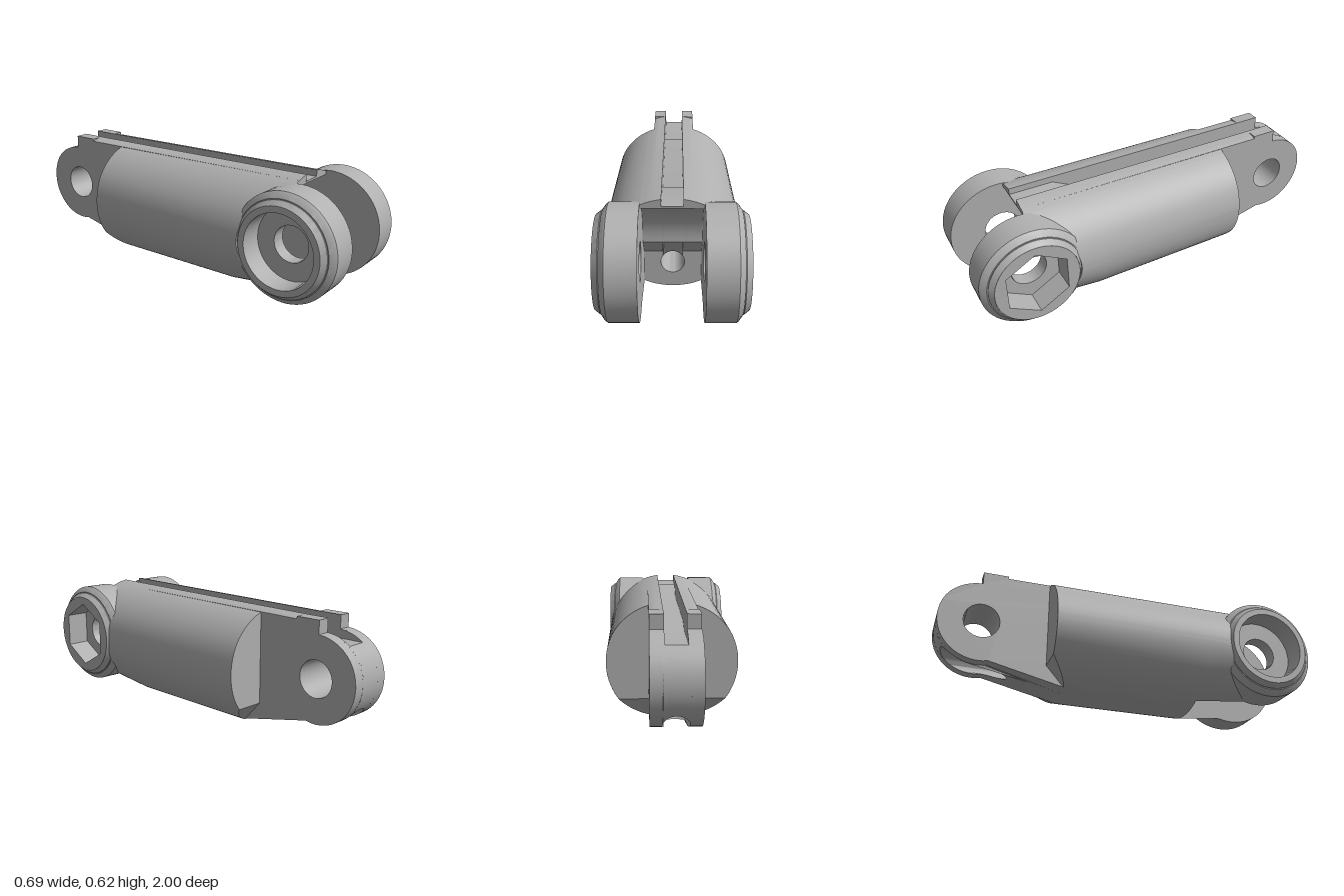
import * as THREE from 'three';
import { toCreasedNormals } from 'three/addons/utils/BufferGeometryUtils.js';

const V = (z, y) => new THREE.Vector2(z, y);
const AXIS_Y = 0.327, FRONT_Z = 0.73, BACK_Z = -0.78, TONGUE_R = 0.22, PIN_R = 0.092;
const BORE_Y = 0.14, BORE_R = 0.06;

const metal = new THREE.MeshStandardMaterial({ color: 0xb0b0b0 });
metal.name = 'grey metal';

function arc(cz, cy, r, a0, a1, n) {
  return Array.from({ length: n + 1 }, (_, i) => {
    const a = a0 + (a1 - a0) * i / n;
    return V(cz + r * Math.cos(a), cy + r * Math.sin(a));
  });
}
const range = (a, b, n) => Array.from({ length: n + 1 }, (_, i) => a + (b - a) * i / n);

// Slight taper of the barrel towards the back
function taper(x, y, z) {
  const t = THREE.MathUtils.clamp((0.7 - z) / 1.14, 0, 1);
  const side = Math.max(Math.abs(x) - 0.145, 0);
  return [x - Math.sign(x) * side * 0.09 * t,
    y - 0.012 * t * THREE.MathUtils.clamp((y - 0.45) / 0.15, 0, 1), z];
}

// Solid made from side profiles (z, y) that change along x
function loft(xs, profile, hole) {
  const pos = [];
  const rings = xs.map(x => {
    const outer = profile(x);
    if (THREE.ShapeUtils.area(outer) < 0) outer.reverse();
    return hole ? [outer, hole] : [outer];
  });
  const put = (p, x) => pos.push(...taper(x, p.y, p.x));
  for (let s = 0; s < xs.length - 1; s++) {
    rings[s].forEach((ring, c) => {
      const next = rings[s + 1][c], x0 = xs[s], x1 = xs[s + 1];
      ring.forEach((p, i) => {
        const j = (i + 1) % ring.length;
        put(p, x0); put(next[i], x1); put(next[j], x1);
        put(p, x0); put(next[j], x1); put(ring[j], x0);
      });
    });
  }
  [0, xs.length - 1].forEach((s, end) => {
    const [outer, ...holes] = rings[s];
    const all = rings[s].flat();
    for (const f of THREE.ShapeUtils.triangulateShape(outer, holes)) {
      (end ? [f[0], f[2], f[1]] : f).forEach(k => put(all[k], xs[s]));
    }
  });
  const g = new THREE.BufferGeometry();
  g.setAttribute('position', new THREE.Float32BufferAttribute(pos, 3));
  return toCreasedNormals(g, 0.5);
}

// Elliptical barrel section
const rise = x => 0.31 * Math.sqrt(Math.max(0, 1 - (x / 0.34) ** 2));
const top = x => 0.313 + rise(x);
const bottom = x => 0.313 - rise(x);
const boreHalf = x => Math.sqrt(Math.max(0, BORE_R ** 2 - x * x));

// Hollow front between the knuckles, from the upper lip down to the bore face
const hollow = () => [
  ...arc(FRONT_Z, AXIS_Y, 0.25, Math.PI - 1.445, Math.PI + 0.088, 18)];

// Rounded tongue end, from the given lower point up to the given upper point
function tongueEnd(z0, y0, z1, y1) {
  const a0 = Math.atan2(y0 - AXIS_Y, z0 - BACK_Z);
  const a1 = Math.atan2(y1 - AXIS_Y, z1 - BACK_Z) - 2 * Math.PI;
  return arc(BACK_Z, AXIS_Y, TONGUE_R, a0, a1, 24);
}
const railTop = x => [V(-0.79, Math.max(0.618, top(x))), V(-0.66, Math.max(0.618, top(x))),
  V(-0.66, top(x)), V(0.7, top(x))];
const grooveFloor = () => [V(-0.55, 0.5), V(-0.47, 0.53), V(0.36, 0.53), V(0.47, 0.587), V(0.7, 0.587)];

// Full-height web carrying the tongue cheeks
const cheek = x => [...hollow(), V(0.37, 0.2), V(0.37, bottom(x)), V(-0.33, bottom(x)),
  ...tongueEnd(-0.73, 0.11, -0.79, 0.547), ...railTop(x)];

// Web above the lengthwise bore
function aboveBore(x, grooved) {
  const y = BORE_Y + boreHalf(x);
  const z = BACK_Z - Math.sqrt(TONGUE_R ** 2 - (AXIS_Y - y) ** 2);
  return grooved
    ? [...hollow(), V(0.37, y), ...tongueEnd(z, y, -0.916, 0.5), ...grooveFloor()]
    : [...hollow(), V(0.37, 0.2001), V(0.37, y), ...tongueEnd(z, y, -0.79, 0.547), ...railTop(x)];
}

// Thin floor below the bore, running out where the tongue rises
function belowBore(x) {
  const y = BORE_Y - boreHalf(x), b = bottom(x);
  const low = y < 0.11;
  const t = (y - b) / (0.11 - b);
  const z = low ? -0.33 - 0.4 * t : BACK_Z - Math.sqrt(TONGUE_R ** 2 - (AXIS_Y - y) ** 2);
  const mid = low ? V(-0.33 - 0.2 * t, (b + y) / 2) : V(-0.73, 0.11);
  return [V(0.37, b), V(0.37, y), V(z, y), mid, V(-0.33, b)];
}

// Barrel back end with its chamfered lower edge
function barrelBack(x) {
  const b = bottom(x), y = Math.max(b + 0.001, 0.13);
  return [V(-0.44 + 0.88 * (y - b), b), V(-0.44, y), V(-0.44, top(x))];
}
const barrelInner = x => [...hollow(), V(0.37, 0.2), V(0.37, bottom(x)), ...barrelBack(x), V(0.7, top(x))];

// Barrel flank, ending in a scoop that meets the knuckle
function barrelFlank(x) {
  const b = bottom(x), t = top(x), y0 = b + 0.04 * (t - b) / 0.6;
  const front = range(y0, t, 24).map(y => {
    const d = 0.23 ** 2 - (y - AXIS_Y) ** 2;
    return V(FRONT_Z - Math.sqrt(Math.max(d, 0.03 ** 2)), y);
  });
  return [...barrelBack(x).reverse(), V(0.37, b), ...front];
}

// Knuckle ring turned about the x axis; side is +1 or -1
function knuckle(side) {
  const socket = side > 0 ? [[0.18, 0.22]] : [[0.185, 0.343], [0.185, 0.22]];
  const pts = [...socket, [PIN_R, 0.22], [PIN_R, 0.145], [0.2725, 0.145], [0.2725, 0.285],
    [0.265, 0.295], [0.243, 0.311], [0.238, 0.311], [0.238, 0.316], [0.217, 0.343]];
  if (side < 0) pts.push([0.185, 0.343]);
  const g = new THREE.LatheGeometry(pts.map(p => V(...p)), 64);
  g.rotateZ(-side * Math.PI / 2);
  return toCreasedNormals(g, 0.35);
}

// Outer face with a six-sided nut pocket
function nutPocket() {
  const shape = new THREE.Shape().absarc(0, 0, 0.2165, 0, Math.PI * 2);
  const hex = range(0, 5, 5).map(i => {
    const a = Math.PI / 2 - i * Math.PI / 3;
    return V(0.177 * Math.cos(a), 0.177 * Math.sin(a));
  });
  shape.holes.push(new THREE.Path(hex));
  const g = new THREE.ExtrudeGeometry(shape, { depth: 0.123, bevelEnabled: false, curveSegments: 32 });
  g.rotateY(Math.PI / 2).translate(0.22, 0, 0);
  return g;
}

export function createModel() {
  const model = new THREE.Group();
  model.name = 'hingeLink';
  const add = (name, geometry) => {
    const mesh = new THREE.Mesh(geometry, metal);
    mesh.name = name;
    model.add(mesh);
    return mesh;
  };
  const pinHole = () => arc(BACK_Z, AXIS_Y, PIN_R, 0, -Math.PI * 2, 40).slice(0, -1);

  // Centre web with the top groove and the lengthwise bore
  add('groovedWeb', loft(range(-0.05, 0.05, 10), x => aboveBore(x, true), pinHole()));
  const boreXs = range(-Math.PI / 2, Math.PI / 2, 20).map(a => BORE_R * Math.sin(a));
  add('boreFloor', loft(boreXs, belowBore));

  for (const side of [1, -1]) {
    const name = side > 0 ? 'left' : 'right';
    const span = xs => side > 0 ? xs : xs.map(x => -x).reverse();
    add(name + 'GrooveWall', loft(span([0.05, 0.053, 0.056, 0.0585, 0.06]), x => aboveBore(x, false), pinHole()));
    add(name + 'TongueCheek', loft(span(range(0.06, 0.115, 4)), cheek, pinHole()));
    add(name + 'BarrelInner', loft(span(range(0.115, 0.145, 2)), barrelInner));
    const flankXs = range(Math.asin(0.145 / 0.34), 1.54, 18).map(a => 0.34 * Math.sin(a));
    add(name + 'BarrelFlank', loft(span(flankXs), barrelFlank));
    add(name + 'Knuckle', knuckle(side)).position.set(0, AXIS_Y, FRONT_Z);
  }
  add('nutPocket', nutPocket()).position.set(0, AXIS_Y, FRONT_Z);
  return model;
}
